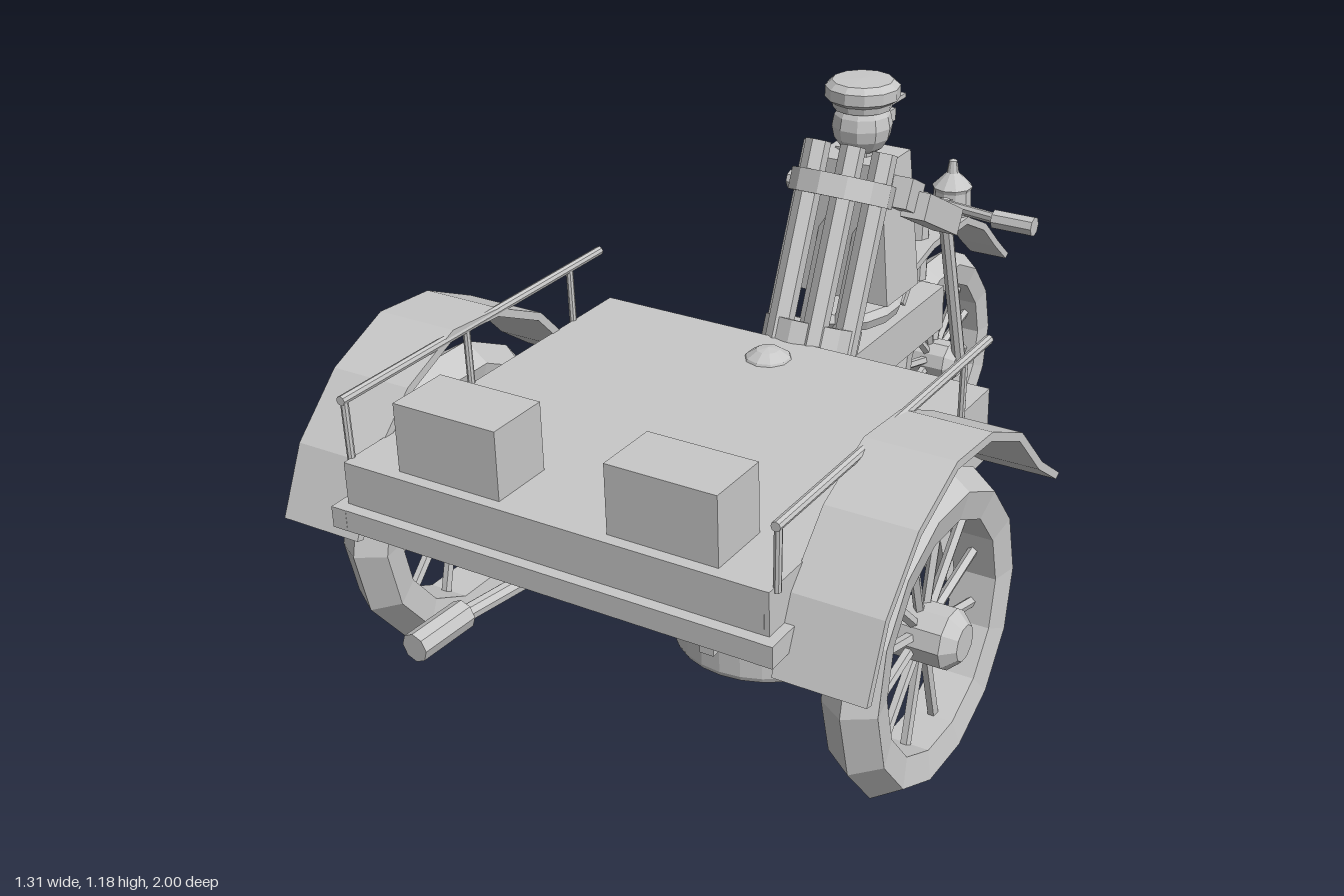
import * as THREE from 'three';

const paint = new THREE.MeshStandardMaterial({ color: 0xc8c8c8, flatShading: true });
paint.name = 'light grey';
const V = (x, y, z) => new THREE.Vector3(x, y, z);

export function createModel() {
  const model = new THREE.Group();
  model.name = 'gunTricycle';

  const add = (name, geo, x = 0, y = 0, z = 0, parent = model) => {
    const m = new THREE.Mesh(geo, paint);
    m.name = name;
    m.position.set(x, y, z);
    parent.add(m);
    return m;
  };
  const box = (name, w, h, d, x, y, z, parent) =>
    add(name, new THREE.BoxGeometry(w, h, d), x, y, z, parent);
  const lathe = (pts, sides) =>
    new THREE.LatheGeometry(pts.map(p => new THREE.Vector2(p[0], p[1])), sides);
  // Round bar between two points
  const rod = (name, a, b, r, parent = model, sides = 8, r2 = r) => {
    const d = b.clone().sub(a);
    const m = add(name, new THREE.CylinderGeometry(r2, r, d.length(), sides), 0, 0, 0, parent);
    m.position.copy(a).addScaledVector(d, 0.5);
    m.quaternion.setFromUnitVectors(V(0, 1, 0), d.normalize());
    return m;
  };
  // Block from its eight corners: lower ring of four, then upper ring of four
  const block = (name, c) => {
    const g = new THREE.BufferGeometry();
    g.setAttribute('position', new THREE.Float32BufferAttribute(c.flat(), 3));
    g.setIndex([0, 2, 1, 0, 3, 2, 4, 5, 6, 4, 6, 7,
      ...[0, 1, 2, 3].flatMap(i => {
        const j = (i + 1) % 4;
        return [i, j, j + 4, i, j + 4, i + 4];
      })]);
    g.computeVertexNormals();
    return add(name, g);
  };
  // Curved strip with points in (z, y), extruded across x
  const fender = (name, pts, cz, cy, width, x) => {
    const centre = new THREE.Vector2(cz, cy);
    const outer = pts.map(p => new THREE.Vector2(p[0], p[1]));
    const inner = outer.map(p => p.clone().add(centre.clone().sub(p).setLength(0.018)));
    const shape = new THREE.Shape([...outer, ...inner.reverse()]);
    const g = new THREE.ExtrudeGeometry(shape, { depth: width, bevelEnabled: false });
    g.translate(0, 0, -width / 2).rotateY(-Math.PI / 2);
    return add(name, g, x);
  };
  // Spoked wheel with its axis along x
  const wheel = (name, R, rim, half, hubR, hubHalf, x, y, z) => {
    const w = new THREE.Group();
    w.name = name;
    w.position.set(x, y, z);
    model.add(w);
    const s = R * 0.89;
    const tire = lathe([[rim, -half * 0.8], [s, -half], [R, 0], [s, half], [rim, half * 0.8], [rim, -half * 0.8]], 14);
    add('tire', tire.rotateZ(Math.PI / 2), 0, 0, 0, w);
    const hub = lathe([[0, -hubHalf], [hubR * 0.6, -hubHalf], [hubR, -hubHalf * 0.7],
      [hubR, hubHalf * 0.7], [hubR * 0.6, hubHalf], [0, hubHalf]], 10);
    add('hub', hub.rotateZ(Math.PI / 2), 0, 0, 0, w);
    for (let i = 0; i < 12; i++) {
      const a = (i + 0.5) * Math.PI / 6, c = Math.cos(a), d = Math.sin(a);
      rod('spoke', V(0, c * hubR * 0.8, d * hubR * 0.8), V(0, c * (rim + 0.01), d * (rim + 0.01)), 0.011, w, 5);
    }
  };

  // Cart body, hollow underneath
  box('deck', 0.94, 0.02, 0.895, 0, 0.67, 0.497);
  for (const s of [-1, 1]) {
    box('sideWall', 0.02, 0.1, 0.895, s * 0.46, 0.63, 0.497);
    box('sideSill', 0.035, 0.045, 0.93, s * 0.473, 0.568, 0.505);
    box('endWall', 0.92, 0.1, 0.02, 0, 0.63, s > 0 ? 0.935 : 0.06);
    box('endSill', 0.96, 0.045, 0.035, 0, 0.568, s > 0 ? 0.952 : 0.058);
    box('stowageBox', 0.235, 0.145, 0.14, s * 0.237, 0.752, 0.85);
    // Side rails
    rod('rail', V(s * 0.475, 0.803, 0.075), V(s * 0.475, 0.803, 0.93), 0.01);
    for (const z of [0.19, 0.55, 0.92])
      rod('railPost', V(s * 0.472, 0.67, z), V(s * 0.475, 0.803, z), 0.008);
    // Rear wheels and fenders
    wheel('cartWheel', 0.33, 0.235, 0.058, 0.062, 0.09, s * 0.56, 0.393, 0.525);
    rod('axleCollar', V(s * 0.48, 0.393, 0.525), V(s * 0.51, 0.393, 0.525), 0.042, model, 10);
    fender('cartFender', [[0.935, 0.5], [0.87, 0.64], [0.75, 0.755], [0.6, 0.82], [0.45, 0.81],
      [0.31, 0.745], [0.2, 0.63], [0.105, 0.56]], 0.525, 0.393, 0.188, s * 0.561);
    // Splayed leg shield plates
    const X = x => s * x;
    const ring = (y, xi, xo, zi, zo, t) => {
      const r = [[X(xi), y, zi + t], [X(xo), y, zo + t], [X(xo), y, zo], [X(xi), y, zi]];
      return s > 0 ? r : r.reverse();
    };
    block('legShield', [...ring(0.13, 0.12, 0.35, -0.19, -0.09, 0.05), ...ring(0.58, 0.1, 0.3, -0.07, -0.02, 0.045)]);
    // Yoke legs of the gun mount
    box('yokeLeg', 0.04, 0.42, 0.135, s * 0.12, 0.3, 0.145);
    rod('trunnion', V(s * 0.1, 0.405, 0.15), V(s * 0.15, 0.405, 0.15), 0.08, model, 14);
  }
  rod('axle', V(-0.56, 0.393, 0.525), V(0.56, 0.393, 0.525), 0.034);

  // Pedestal, mount bowl and hand wheel
  add('pedestal', lathe([[0, 0], [0.215, 0], [0.22, 0.012], [0.22, 0.095], [0.195, 0.12], [0, 0.12]], 28), 0, 0, 0.145);
  add('mountBowl', lathe([[0, 0.27], [0.06, 0.28], [0.1, 0.32], [0.115, 0.42], [0.13, 0.43], [0.13, 0.465],
    [0.118, 0.47], [0.118, 0.5], [0.128, 0.505], [0.128, 0.55], [0.1, 0.56], [0.1, 0.66]], 16), 0, 0, 0.145);
  add('handWheel', new THREE.CylinderGeometry(0.12, 0.11, 0.065, 14).rotateZ(Math.PI / 2), 0.165, 0.405, 0.15);
  add('pivotCap', lathe([[0.055, 0.67], [0.048, 0.685], [0.025, 0.7], [0, 0.704]], 10), 0, 0, 0.145);

  // Exhaust pipe
  rod('exhaustPipe', V(-0.12, 0.4, 0.28), V(-0.285, 0.35, 0.9), 0.018);
  rod('silencer', V(-0.28, 0.352, 0.86), V(-0.29, 0.348, 0.998), 0.031);

  // Saddles
  const saddle = (name, y, z) => {
    const g = lathe([[0, 0], [0.08, 0], [0.13, 0.02], [0.14, 0.042], [0.125, 0.058], [0, 0.065]], 14);
    add(name, g.scale(0.75, 1, 1), 0, y, z);
  };
  saddle('riderSaddle', 0.62, -0.24);
  box('riderSaddlePin', 0.035, 0.12, 0.03, 0, 0.58, -0.165);
  saddle('gunnerSaddle', 0.21, 0.42);
  box('gunnerSaddlePin', 0.035, 0.13, 0.03, 0, 0.152, 0.4);
  rod('gunnerSaddleArm', V(0, 0.23, 0.4), V(0, 0.31, 0.2), 0.02);

  // Motorcycle frame, front wheel and fork
  box('frameBeam', 0.14, 0.11, 0.64, 0, 0.535, -0.25);
  wheel('frontWheel', 0.279, 0.2, 0.042, 0.052, 0.075, 0, 0.343, -0.663);
  fender('frontFender', [[-0.39, 0.61], [-0.45, 0.68], [-0.55, 0.705], [-0.74, 0.705], [-0.85, 0.65],
    [-0.93, 0.575], [-1.0, 0.515]].reverse(), -0.663, 0.343, 0.1, 0);
  rod('steeringStem', V(0, 0.6, -0.56), V(0, 0.81, -0.575), 0.026);
  for (const s of [-1, 1]) {
    rod('forkLeg', V(s * 0.075, 0.335, -0.668), V(s * 0.06, 0.805, -0.573), 0.017);
    rod('handlebar', V(0, 0.8, -0.575), V(s * 0.225, 0.812, -0.512), 0.013);
    rod('grip', V(s * 0.22, 0.812, -0.51), V(s * 0.32, 0.812, -0.51), 0.023);
  }
  box('forkCrown', 0.15, 0.03, 0.04, 0, 0.79, -0.573);
  add('lamp', lathe([[0, 0.69], [0.045, 0.7], [0.048, 0.72], [0.046, 0.765], [0.05, 0.775], [0.015, 0.81], [0.01, 0.84], [0, 0.845]], 10), 0, 0, -0.75);

  // Rider
  block('torso', [[-0.11, 0.69, -0.19], [0.11, 0.69, -0.19], [0.11, 0.69, -0.345], [-0.11, 0.69, -0.345],
    [-0.085, 1.01, -0.2], [0.085, 1.01, -0.2], [0.085, 1.01, -0.34], [-0.085, 1.01, -0.34]]);
  for (const s of [-1, 1]) {
    box('arm', 0.06, 0.062, 0.2, s * 0.133, 0.862, -0.36).rotation.x = -0.5;
    box('shoulder', 0.07, 0.07, 0.07, s * 0.1, 0.93, -0.27).rotation.x = -0.5;
  }
  add('head', new THREE.SphereGeometry(0.068, 10, 8), 0, 1.075, -0.27);
  rod('neck', V(0, 0.99, -0.27), V(0, 1.04, -0.27), 0.035);
  add('cap', lathe([[0.065, 1.115], [0.068, 1.13], [0.083, 1.14], [0.083, 1.165], [0.068, 1.178], [0, 1.18]], 12), 0, 0, -0.27);
  box('visor', 0.1, 0.01, 0.09, 0, 1.118, -0.337);
  box('goggles', 0.09, 0.028, 0.025, 0, 1.085, -0.33);

  // Tilted cluster of six barrels with two bands
  const gun = new THREE.Group();
  gun.name = 'barrelCluster';
  gun.position.set(0, 0.605, -0.02);
  gun.rotation.x = -0.425;
  model.add(gun);
  for (let i = 0; i < 6; i++) {
    const a = (i + 0.5) * Math.PI / 3, x = Math.cos(a + Math.PI / 2) * 0.085, z = Math.sin(a + Math.PI / 2) * 0.085;
    rod('barrel', V(x, -0.01, z), V(x, 0.475, z), 0.028, gun, 6);
  }
  for (const [y, r] of [[0.035, 0.108], [0.36, 0.116]]) {
    const band = lathe([[r - 0.02, 0], [r, 0], [r, 0.05], [r - 0.02, 0.05], [r - 0.02, 0]], 12);
    add('barrelBand', band, 0, y, 0, gun);
  }
  add('breech', new THREE.CylinderGeometry(0.06, 0.06, 0.06, 10), 0, 0.04, 0, gun);

  return model;
}
